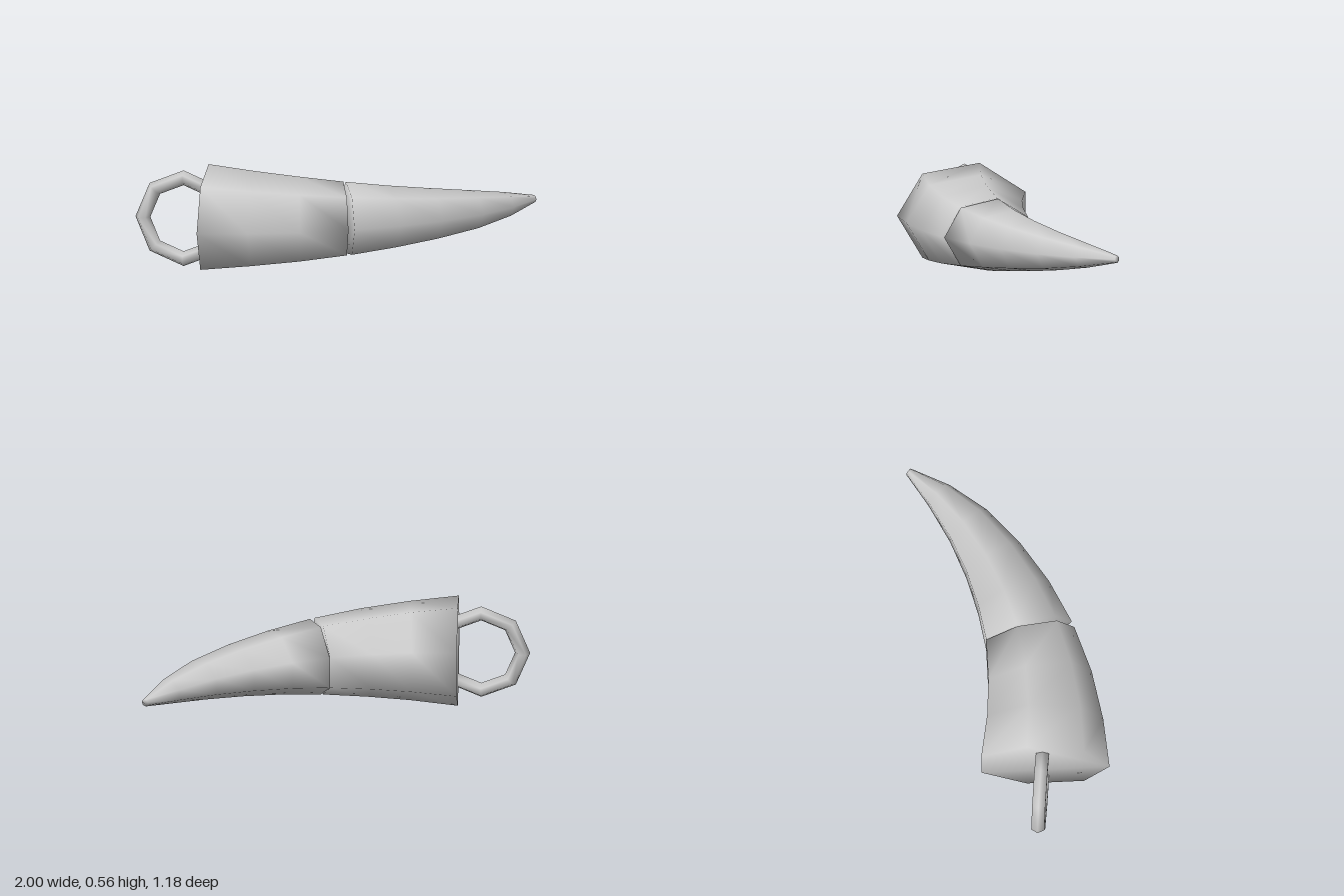
import * as THREE from 'three';

const SIDES = 7;
const MID_Y = 0.28;
const BACK = 1 - Math.cos((Math.floor(SIDES / 2) * 2 * Math.PI) / SIDES);

// Closed smooth shell through seven-sided rings.
// Each ring: [front x, front z, back x, back z, vertical radius]
function hornPiece(rings) {
  const pos = [], index = [];
  for (const [fx, fz, bx, bz, ry] of rings) {
    for (let j = 0; j < SIDES; j++) {
      const a = (j * 2 * Math.PI) / SIDES;
      const t = (1 - Math.cos(a)) / BACK;
      pos.push(fx + (bx - fx) * t, MID_Y + ry * Math.sin(a), fz + (bz - fz) * t);
    }
  }
  for (let i = 0; i < rings.length - 1; i++) {
    for (let j = 0; j < SIDES; j++) {
      const k = (j + 1) % SIDES;
      const a = i * SIDES + j, b = a + SIDES, c = i * SIDES + k, d = c + SIDES;
      index.push(a, b, c, c, b, d);
    }
  }
  // end caps
  const last = (rings.length - 1) * SIDES;
  for (let j = 1; j < SIDES - 1; j++) {
    index.push(0, j, j + 1, last, last + j + 1, last + j);
  }
  const geo = new THREE.BufferGeometry();
  geo.setAttribute('position', new THREE.Float32BufferAttribute(pos, 3));
  geo.setIndex(index);
  geo.computeVertexNormals();
  return geo;
}

export function createModel() {
  const group = new THREE.Group();
  group.name = 'hornPendant';
  const grey = new THREE.MeshStandardMaterial({ color: 0xcccccc });
  grey.name = 'light grey';

  const add = (name, geo) => {
    const mesh = new THREE.Mesh(geo, grey);
    mesh.name = name;
    group.add(mesh);
    return mesh;
  };

  // Wide root of the horn
  add('hornBase', hornPiece([
    [-0.6, 0.587, -0.635, -0.09, 0.287],
    [-0.335, 0.535, -0.395, -0.075, 0.258],
    [-0.07, 0.455, -0.19, -0.083, 0.23],
    [0.17, 0.347, 0.035, -0.11, 0.2],
  ]));

  // Curved tip, hinged at the back so a narrow wedge gap opens in front
  add('hornTip', hornPiece([
    [0.2, 0.332, 0.037, -0.11, 0.198],
    [0.42, 0.195, 0.23, -0.165, 0.168],
    [0.617, 0.033, 0.427, -0.243, 0.138],
    [0.797, -0.16, 0.618, -0.342, 0.105],
    [0.92, -0.363, 0.808, -0.47, 0.066],
    [0.998, -0.575, 0.965, -0.597, 0.02],
  ]));

  // Octagonal hanging ring, partly sunk in the base
  const ring = add('hangingRing', new THREE.TorusGeometry(0.219, 0.04, 6, 8));
  ring.position.set(-0.741, MID_Y, 0.233);

  return group;
}
